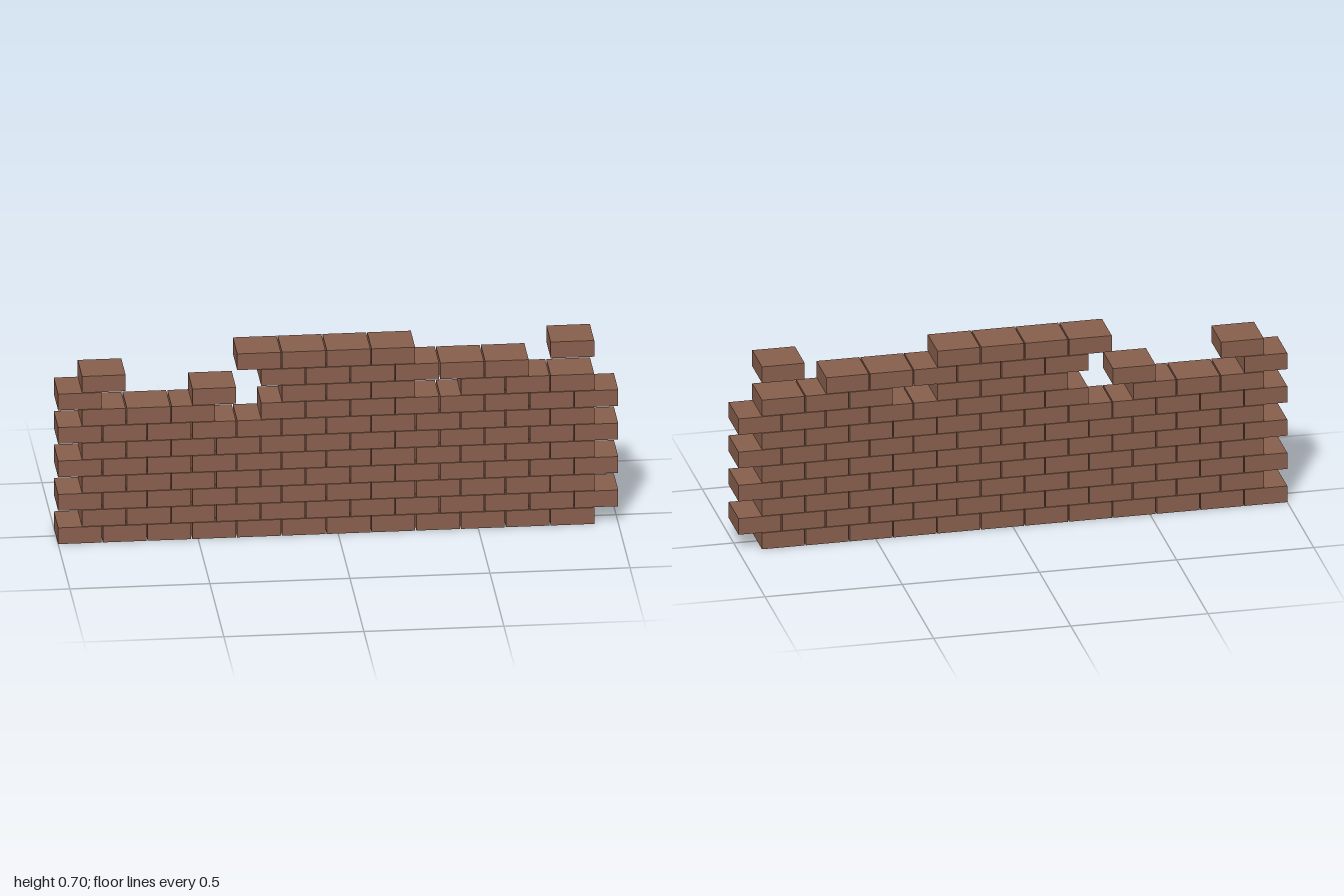
import * as THREE from 'three';

// Brick size and spacing
const W = 0.1555, H = 0.0623, D = 0.156;
const PITCH_X = 0.1599, PITCH_Y = 0.0642;
const COLUMNS = 12;

// Surviving bricks of the broken upper courses; every lower course is complete
const full = '############';
const courses = [
  full, full, full, full, full, full, full,
  '###.########',
  '#..#.###.###',
  '#...######..',
  '....####...#',
];

export function createModel() {
  const wall = new THREE.Group();
  wall.name = 'brokenBrickWall';
  const brickMaterial = new THREE.MeshStandardMaterial({ color: 0x875e4c });
  brickMaterial.name = 'brick brown';
  const brickGeometry = new THREE.BoxGeometry(W, H, D);

  // Even courses start at the right end, odd courses finish at the left end
  const span = (COLUMNS - 1) * PITCH_X + W;
  courses.forEach((pattern, row) => {
    const course = new THREE.Group();
    course.name = `course${row + 1}`;
    const start = row % 2 === 0 ? -1 : 1 - span;
    for (let col = 0; col < COLUMNS; col++) {
      if (pattern[col] !== '#') continue;
      const brick = new THREE.Mesh(brickGeometry, brickMaterial);
      brick.name = 'brick';
      brick.position.set(start + W / 2 + col * PITCH_X, H / 2 + row * PITCH_Y, 0);
      course.add(brick);
    }
    wall.add(course);
  });
  return wall;
}
